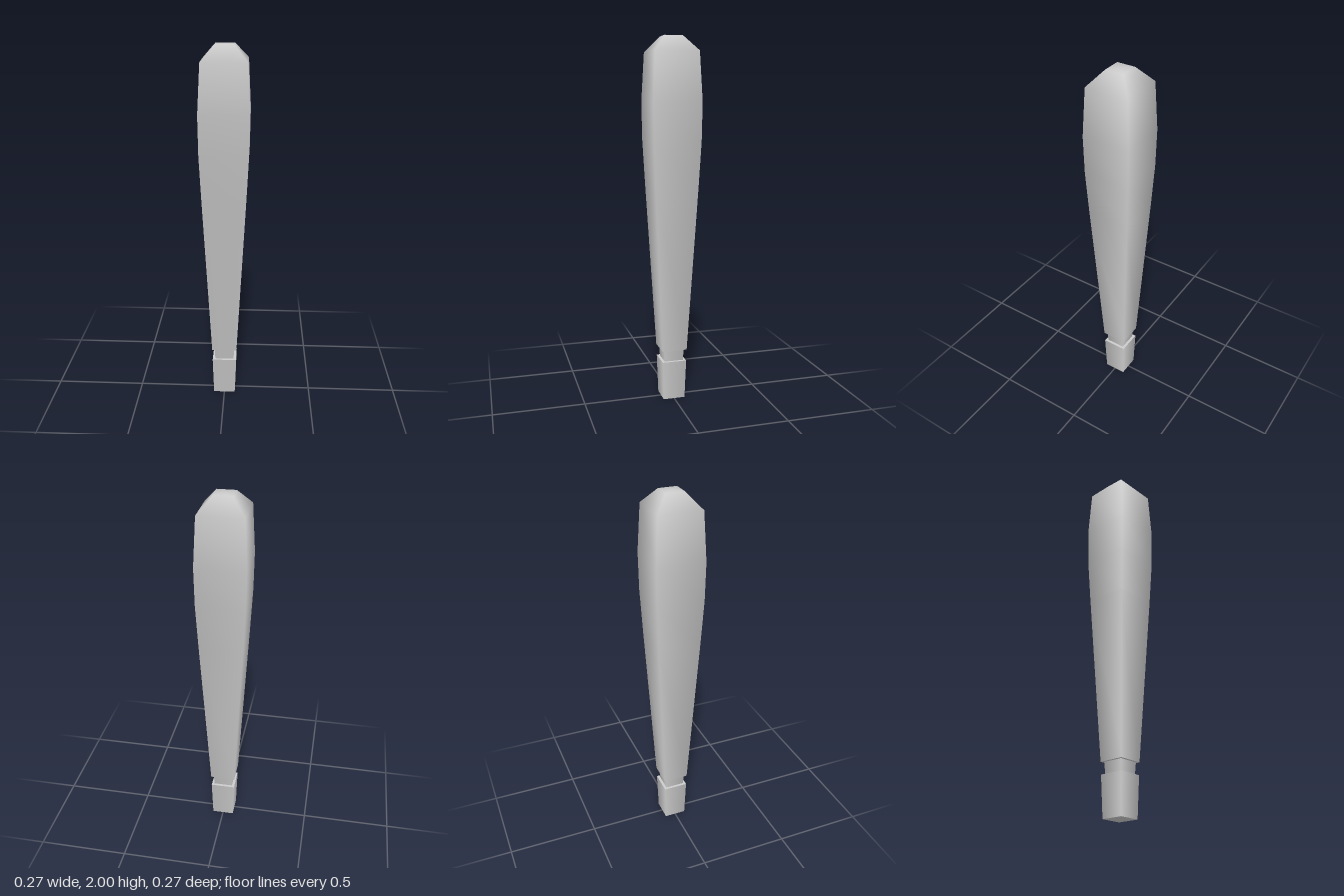
import * as THREE from 'three';

const material = new THREE.MeshStandardMaterial({ color: 0xcccccc });

// Square-section surface through [halfWidth, y] points, ordered from the underside to the top;
// shading is smooth along and around the surface
function squareLoft(name, profile) {
  const points = profile.map(([h, y]) => new THREE.Vector2(h * Math.SQRT2, y));
  const mesh = new THREE.Mesh(new THREE.LatheGeometry(points, 4, Math.PI / 4), material);
  mesh.name = name;
  return mesh;
}

// Several lofts meeting at sharp edges
function part(name, sections) {
  const group = new THREE.Group();
  group.name = name;
  for (const key in sections) group.add(squareLoft(key, sections[key]));
  return group;
}

export function createModel() {
  const model = new THREE.Group();
  model.name = 'club';

  // Grip end block, widening slightly upward
  model.add(part('pommel', {
    pommelBase: [[0, 0], [0.061, 0]],
    pommelSides: [[0.061, 0], [0.068, 0.22]],
    pommelTop: [[0.068, 0.22], [0, 0.22]],
  }));

  // Narrow neck between the pommel and the body
  model.add(squareLoft('neck', [[0.053, 0.22], [0.057, 0.285]]));

  // Long swelling body with a bevelled, softly shaded tip
  model.add(part('body', {
    bodyUnderside: [[0, 0.285], [0.07, 0.285]],
    bodySides: [
      [0.07, 0.285], [0.118, 1.2], [0.13, 1.45], [0.133, 1.66],
      [0.12, 1.92], [0.05, 2], [0, 2],
    ],
  }));

  return model;
}
